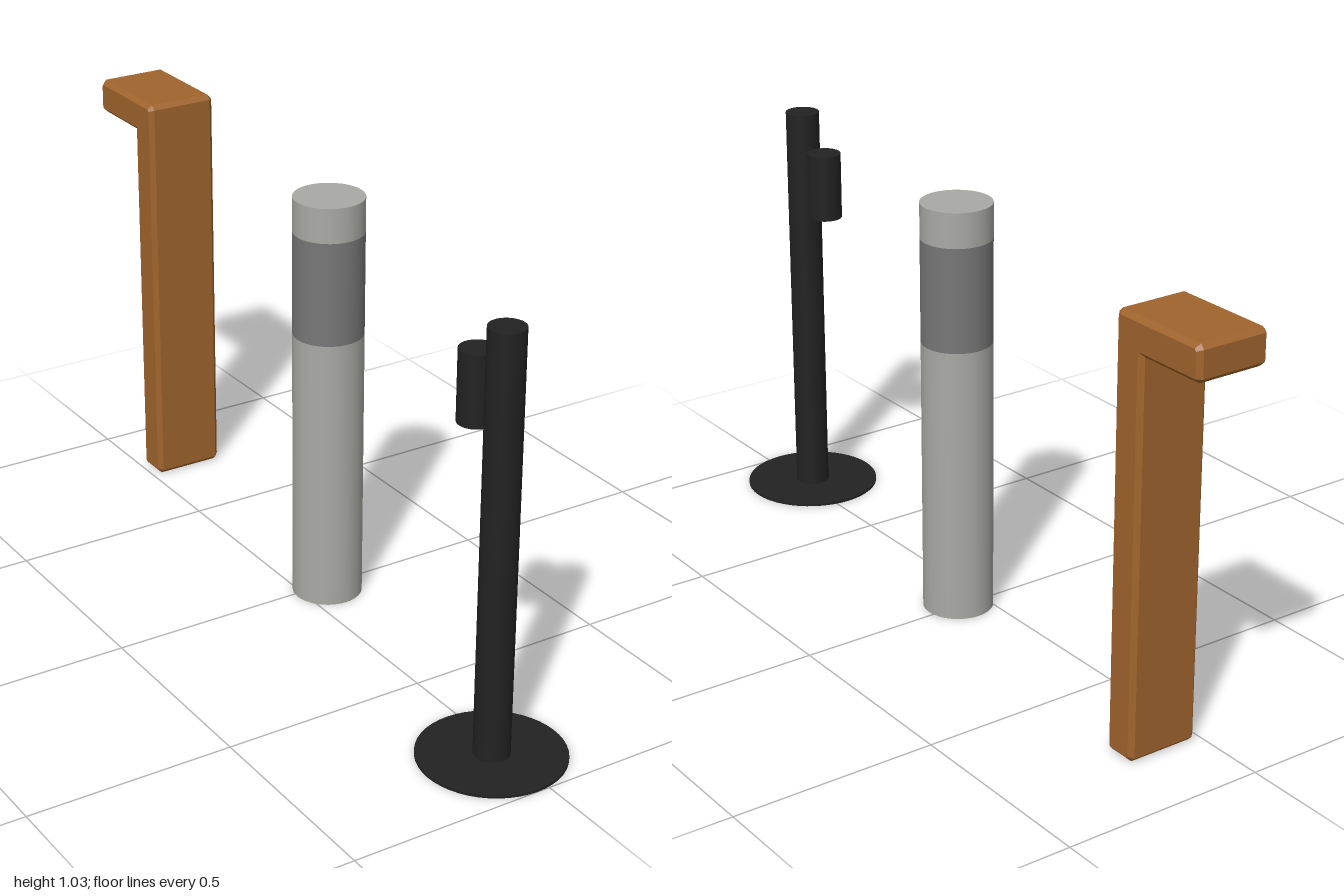
import * as THREE from 'three';

const material = (name, color) => {
  const m = new THREE.MeshStandardMaterial({ color });
  m.name = name;
  return m;
};

export function createModel() {
  const black = material('black metal', 0x222222);
  const grey = material('light grey', 0xa9aaa5);
  const darkGrey = material('dark grey', 0x777777);
  const rust = material('rust brown', 0xa0642d);
  const model = new THREE.Group();
  model.name = 'gardenLamps';

  const group = (name, x, z) => {
    const g = new THREE.Group();
    g.name = name;
    g.position.set(x, 0, z);
    model.add(g);
    return g;
  };
  const add = (parent, name, geometry, mat) => {
    const mesh = new THREE.Mesh(geometry, mat);
    mesh.name = name;
    parent.add(mesh);
    return mesh;
  };
  // Upright cylinder from y0 to y1
  const column = (parent, name, r, y0, y1, mat, open = false) =>
    add(parent, name, new THREE.CylinderGeometry(r, r, y1 - y0, 48, 1, open)
      .translate(0, (y0 + y1) / 2, 0), mat);

  // Spotlight on a pole with a round foot
  const spot = group('spotLamp', -0.03, 0.83);
  column(spot, 'footPlate', 0.17, 0, 0.006, black);
  column(spot, 'pole', 0.042, 0.006, 1.025, black);
  const arm = add(spot, 'arm', new THREE.CylinderGeometry(0.008, 0.008, 0.04, 16), black);
  arm.rotation.x = Math.PI / 2;
  arm.position.set(0, 0.91, -0.05);
  // Spot housing, hollow at its lower end
  const housing = [[0, 0.79], [0.035, 0.79], [0.035, 0.79], [0.035, 0.772], [0.035, 0.772],
    [0.042, 0.772], [0.042, 0.772], [0.042, 0.94], [0.042, 0.94], [0, 0.94]]
    .map(([x, y]) => new THREE.Vector2(x, y));
  // Each straight run is turned on its own to keep the rims sharp
  for (let i = 0; i < housing.length - 1; i++) {
    if (housing[i].equals(housing[i + 1])) continue;
    add(spot, 'spotHousing', new THREE.LatheGeometry([housing[i], housing[i + 1]], 48), black)
      .position.z = -0.098;
  }

  // Round bollard with a dark light band
  const bollard = group('bollardLamp', 0.065, 0.015);
  column(bollard, 'bollardBody', 0.085, 0, 0.685, grey);
  column(bollard, 'lightBand', 0.085, 0.685, 0.94, darkGrey, true);
  column(bollard, 'bollardCap', 0.085, 0.94, 1.025, grey);

  // Angled post lamp: chamfered profile, x runs towards the back
  const angled = group('angledLamp', 0.107, 0);
  const c = 0.011;
  const polygon = (pts) => pts.map(([x, y]) => new THREE.Vector2(x, y));
  const bevel = { bevelEnabled: true, bevelSegments: 1, bevelSize: c, bevelThickness: c, bevelOffset: -c };
  const profile = new THREE.Shape(polygon([
    [0.735 + c, 0], [0.82 - c, 0], [0.82, c], [0.82, 0.975], [1, 0.975],
    [1, 1.03 - c], [1 - c, 1.03], [0.735 + c, 1.03], [0.735, 1.03 - c], [0.735, c]]));
  add(angled, 'postAndHead', new THREE.ExtrudeGeometry(profile, { ...bevel, depth: 0.182 - 2 * c })
    .translate(0, 0, c - 0.091).rotateY(Math.PI / 2), rust);

  // Frame below the head, leaving a square pocket for the light
  const w = 0.091;
  const frame = new THREE.Shape(polygon([
    [-w, -0.79], [-w, -1 + c], [-w + c, -1], [w - c, -1], [w, -1 + c], [w, -0.79]]));
  const h = 0.055;
  frame.holes.push(new THREE.Path(polygon([
    [-h, -0.91 - h], [h, -0.91 - h], [h, -0.91 + h], [-h, -0.91 + h]])));
  add(angled, 'headFrame', new THREE.ExtrudeGeometry(frame, { ...bevel, depth: 0.035 })
    .rotateX(Math.PI / 2).translate(0, 0.991, 0), rust);

  return model;
}
